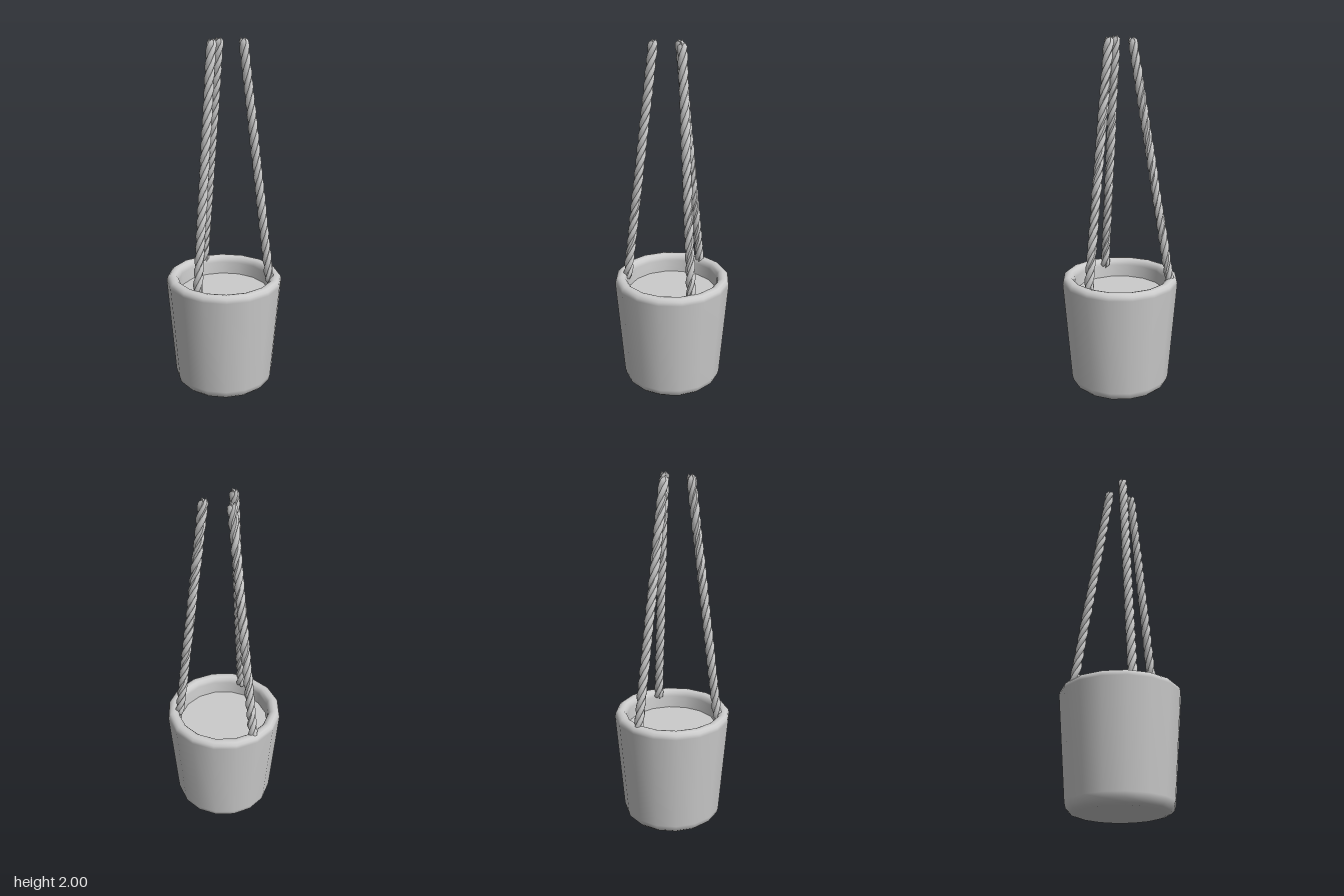
import * as THREE from 'three';

const SIDES = 16;
const mat = new THREE.MeshStandardMaterial({ color: 0xcccccc, side: THREE.DoubleSide });

// One strand winding around a straight slanted axis
class StrandCurve extends THREE.Curve {
  constructor(from, to, offset, turns, phase) {
    super();
    Object.assign(this, { from, to, offset, turns, phase });
  }
  getPoint(t, target = new THREE.Vector3()) {
    const a = this.phase + t * this.turns * Math.PI * 2;
    target.lerpVectors(this.from, this.to, t);
    target.x += Math.sin(a) * this.offset;
    target.z += Math.cos(a) * this.offset;
    return target;
  }
}

// Tube whose two end rings are drawn together into closed tips
function strandGeometry(curve, segments, radius, sides) {
  const geo = new THREE.TubeGeometry(curve, segments, radius, sides, false);
  const pos = geo.attributes.position;
  for (const ring of [0, segments]) {
    const tip = curve.getPointAt(ring / segments);
    for (let j = 0; j <= sides; j++) pos.setXYZ(ring * (sides + 1) + j, tip.x, tip.y, tip.z);
  }
  geo.computeVertexNormals();
  return geo;
}

function makeRope(from, to) {
  const rope = new THREE.Group();
  rope.name = 'rope';
  for (let i = 0; i < 3; i++) {
    const curve = new StrandCurve(from, to, 0.0135, 6.7, (i * Math.PI * 2) / 3);
    const strand = new THREE.Mesh(strandGeometry(curve, 64, 0.0145, 7), mat);
    strand.name = 'strand';
    rope.add(strand);
  }
  return rope;
}

export function createModel() {
  const model = new THREE.Group();
  model.name = 'hangingPlanter';

  // Tapered pot with rounded foot, thick rounded rim and inner wall
  const profile = [
    [0, 0], [0.235, 0], [0.262, 0.008], [0.28, 0.026], [0.287, 0.055],
    [0.332, 0.63], [0.328, 0.65], [0.315, 0.663], [0.298, 0.667],
    [0.281, 0.663], [0.268, 0.65], [0.263, 0.63], [0.257, 0.54],
  ].map(([r, y]) => new THREE.Vector2(r, y));
  const pot = new THREE.Mesh(new THREE.LatheGeometry(profile, SIDES), mat);
  pot.name = 'pot';
  model.add(pot);

  // Flat fill inside the pot
  const soil = new THREE.Mesh(new THREE.CircleGeometry(0.259, SIDES), mat);
  soil.name = 'soil';
  soil.rotation.x = -Math.PI / 2;
  soil.position.y = 0.56;
  model.add(soil);

  // Three ropes leaning inward: one at the back, a mirrored pair at the front
  const v = (x, y, z) => new THREE.Vector3(x, y, z);
  const back = makeRope(v(0, 0.62, -0.292), v(0, 1.995, -0.065));
  back.name = 'backRope';
  model.add(back);
  for (const s of [1, -1]) {
    const front = makeRope(v(s * 0.226, 0.62, 0.135), v(s * 0.09, 2, 0.04));
    front.name = s > 0 ? 'leftRope' : 'rightRope';
    model.add(front);
  }
  return model;
}
